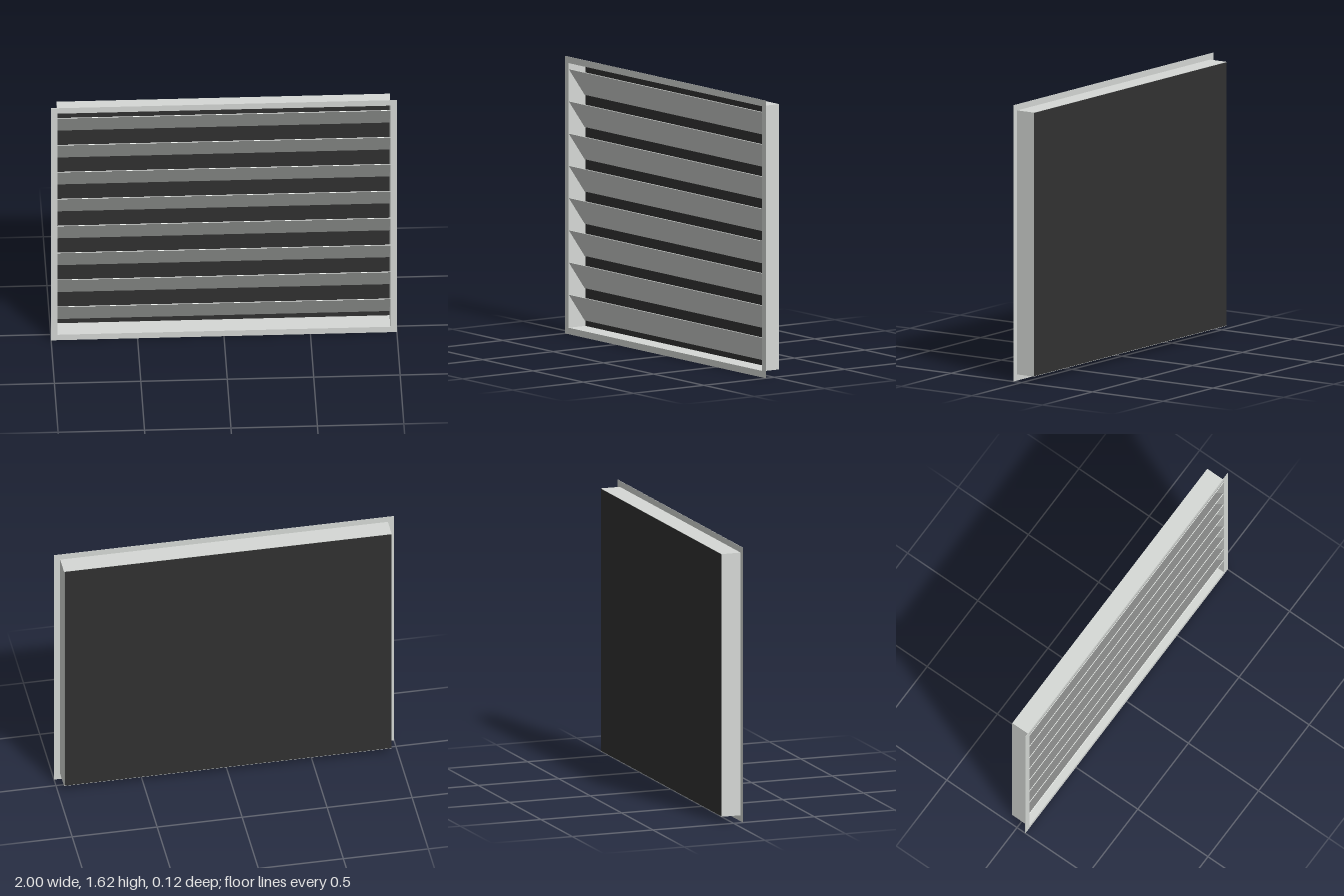
import * as THREE from 'three';

const W = 2, H = 1.625, DEPTH = 0.12, LIP = 0.036, SHEET = 0.002;

function material(name, color) {
  const m = new THREE.MeshStandardMaterial({ color });
  m.name = name;
  return m;
}

function rectangle(target, w, h) {
  target.moveTo(-w / 2, -h / 2);
  target.lineTo(w / 2, -h / 2);
  target.lineTo(w / 2, h / 2);
  target.lineTo(-w / 2, h / 2);
  target.closePath();
  return target;
}

// Rectangular ring extruded along z
function ring(w, h, innerW, innerH, depth) {
  const shape = rectangle(new THREE.Shape(), w, h);
  shape.holes.push(rectangle(new THREE.Path(), innerW, innerH));
  return new THREE.ExtrudeGeometry(shape, { depth, bevelEnabled: false });
}

export function createModel() {
  const metalGrey = material('metal grey', 0xd5d8d5);
  const backBlack = material('backing black', 0x313131);

  const group = new THREE.Group();
  group.name = 'louverVent';
  const add = (name, geometry, mat, y, z) => {
    const mesh = new THREE.Mesh(geometry, mat);
    mesh.name = name;
    mesh.position.set(0, y, z);
    group.add(mesh);
    return mesh;
  };

  const ductW = W - 2 * LIP, ductH = H - 2 * LIP;
  const innerW = ductW - 2 * SHEET, innerH = ductH - 2 * SHEET;

  // Thin front flange and the sheet-metal duct behind it
  add('flange', ring(W, H, innerW, innerH, SHEET), metalGrey, H / 2, DEPTH / 2 - SHEET);
  add('duct', ring(ductW, ductH, innerW, innerH, DEPTH - SHEET), metalGrey, H / 2, -DEPTH / 2);

  // Dark backing sheet set flush inside the rear opening
  add('backPanel', new THREE.BoxGeometry(innerW, innerH, SHEET), backBlack, H / 2, -DEPTH / 2 + SHEET / 2);

  // Sloping blades: front edge high, rear edge low
  const count = 8, topEdge = 1.552, pitch = 0.1886, drop = 0.16, run = 0.112, thickness = 0.004;
  const bladeGeometry = new THREE.BoxGeometry(innerW, Math.hypot(drop, run), thickness);
  for (let i = 0; i < count; i++) {
    const blade = add(`blade${i + 1}`, bladeGeometry, metalGrey, topEdge - drop / 2 - i * pitch, 0.001);
    blade.rotation.x = Math.atan2(run, drop);
  }

  return group;
}
